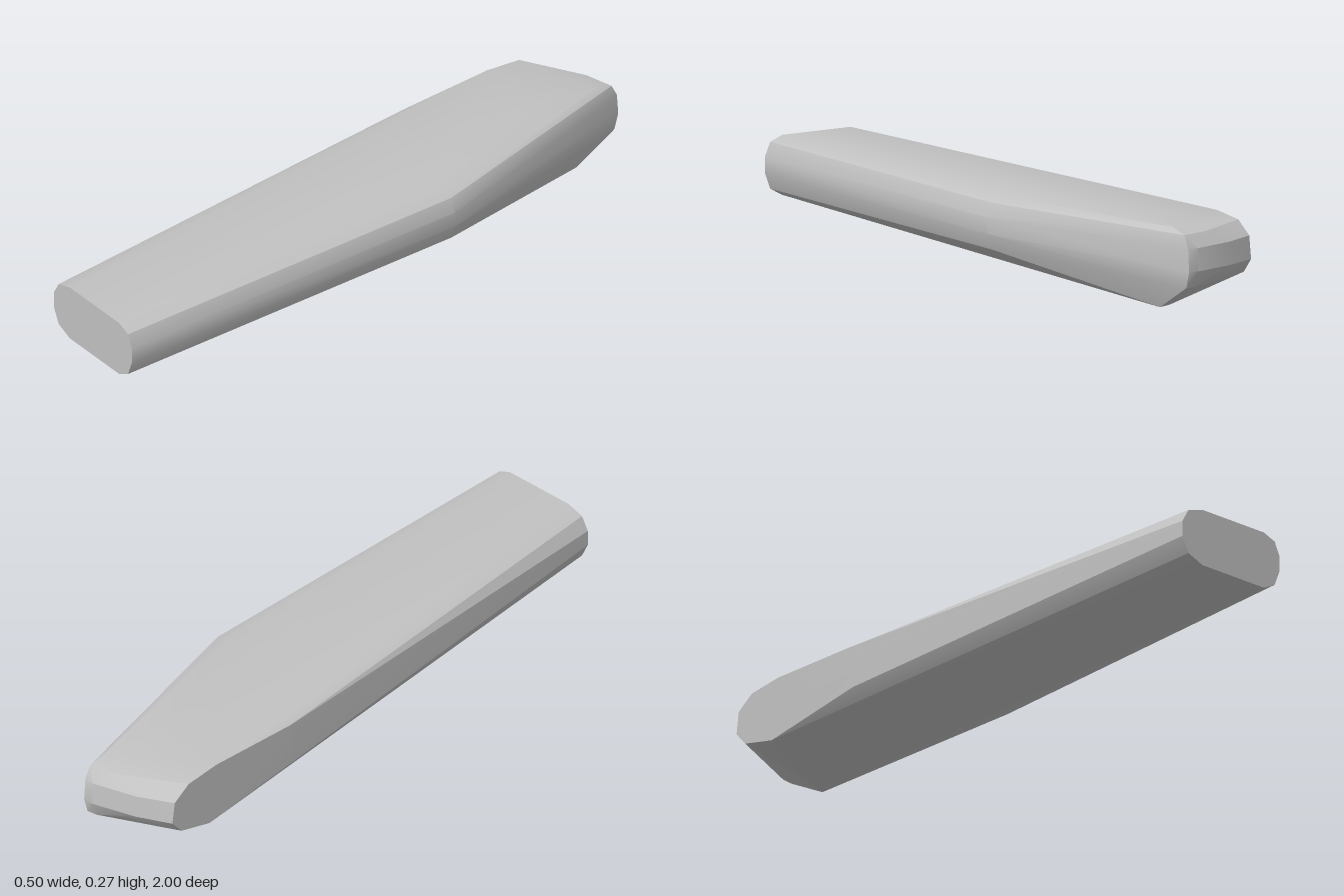
import * as THREE from 'three';
import { toCreasedNormals } from 'three/addons/utils/BufferGeometryUtils.js';
import { ConvexGeometry } from 'three/addons/geometries/ConvexGeometry.js';

export function createModel() {
  const group = new THREE.Group();
  const grey = new THREE.MeshStandardMaterial({ color: 0xc2c2c2 });
  grey.name = 'grey';

  const points = [];
  const add = (...list) => list.forEach((p) => points.push(new THREE.Vector3(...p)));

  // Right-hand half of the rounded grip outline: [x, y]
  const leftEdge = [[0.185, 0.077], [0.228, 0.1], [0.247, 0.15], [0.247, 0.2], [0.228, 0.243], [0.185, 0.26]];
  const rightEdge = [[-0.06, 0.26], [-0.115, 0.243], [-0.139, 0.2], [-0.139, 0.15], [-0.115, 0.1], [-0.06, 0.077]];

  // Flat front end, and the straight +x side up to its bend
  for (const [x, y] of [...leftEdge, ...rightEdge]) add([x, y, 1]);
  for (const [x, y] of leftEdge.slice(1)) add([x, y, -0.22]);

  // Flat -x flank
  add(
    [-0.248, 0.1, -0.38], [-0.248, 0.15, -0.38], [-0.248, 0.2, -0.38], [-0.248, 0.237, -0.4],
    [-0.248, 0.251, -0.72], [-0.248, 0.24, -0.84], [-0.248, 0.2, -0.9],
    [-0.248, 0.13, -0.91], [-0.248, 0.085, -0.87], [-0.248, 0.054, -0.75],
  );

  // Keel and crown
  add([-0.015, 0, -0.47], [0.033, 0, -0.84], [-0.015, 0, -0.82]);
  add([-0.03, 0.267, -0.5], [0.033, 0.267, -0.6], [-0.03, 0.267, -0.7]);

  // Rounded back end
  add(
    [0.033, 0.255, -0.91], [0.033, 0.24, -0.975], [0.033, 0.2, -0.995], [0.033, 0.13, -1],
    [0.033, 0.08, -0.985], [0, 0.2, -0.995], [0, 0.13, -1], [0, 0.08, -0.98],
    [-0.14, 0.13, -0.96], [-0.14, 0.2, -0.955], [-0.06, 0.24, -0.95],
  );

  const body = new THREE.Mesh(toCreasedNormals(new ConvexGeometry(points), 0.42), grey);
  body.name = 'taperedBody';
  group.add(body);
  return group;
}
